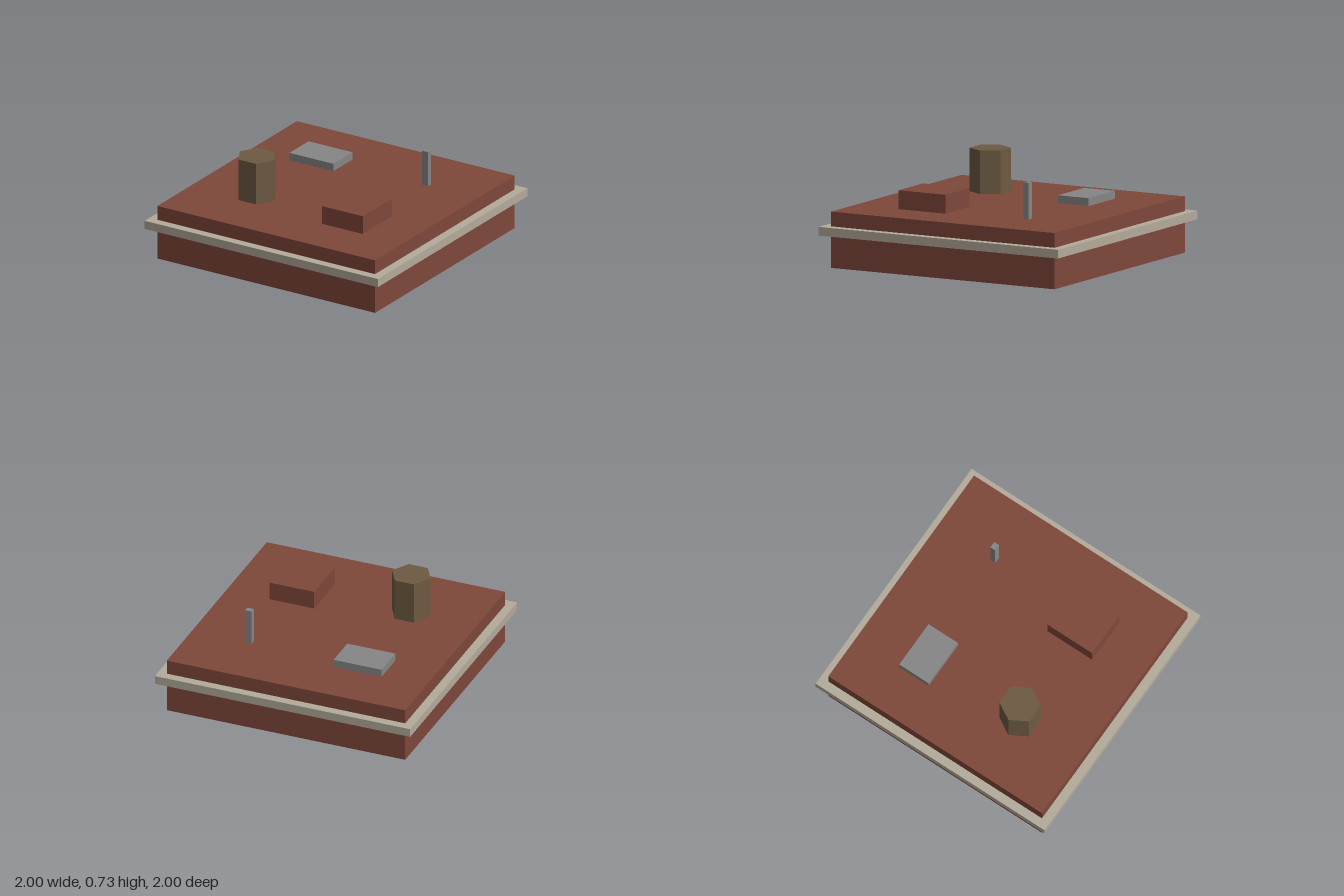
import * as THREE from 'three';

function material(name, color) {
  const m = new THREE.MeshStandardMaterial({ color });
  m.name = name;
  return m;
}

export function createModel() {
  const group = new THREE.Group();
  const brick = material('brick', 0x7f473a);
  const stone = material('stone', 0xb4ab9b);
  const metal = material('metal', 0x868686);
  const wood = material('wood', 0x6d5a42);

  const add = (name, geometry, mat, x, y, z) => {
    const mesh = new THREE.Mesh(geometry, mat);
    mesh.name = name;
    mesh.position.set(x, y, z);
    group.add(mesh);
    return mesh;
  };
  // Box given by its centre, footprint and bottom and top heights
  const box = (name, mat, x, z, w, d, y0, y1) =>
    add(name, new THREE.BoxGeometry(w, y1 - y0, d), mat, x, (y0 + y1) / 2, z);

  const roof = 0.412;

  // Brick storey with a projecting cornice band
  box('building', brick, 0, 0, 1.868, 1.868, 0, roof);
  box('cornice', stone, 0, 0, 2, 2, 0.24, 0.304);

  // Rooftop fittings
  box('stairHut', brick, 0.42, 0.373, 0.35, 0.392, roof, 0.55);
  box('airUnit', metal, -0.4, -0.422, 0.376, 0.256, roof, 0.47);
  box('ventPipe', metal, 0.489, -0.45, 0.05, 0.042, roof, 0.68);

  // Six-sided water tank with corners pointing left and right
  const tankGeometry = new THREE.CylinderGeometry(0.15, 0.15, 0.73 - roof, 6).toNonIndexed();
  tankGeometry.computeVertexNormals();
  const tank = add('waterTank', tankGeometry, wood, -0.424, (roof + 0.73) / 2, 0.395);
  tank.rotation.y = Math.PI / 2;

  return group;
}
